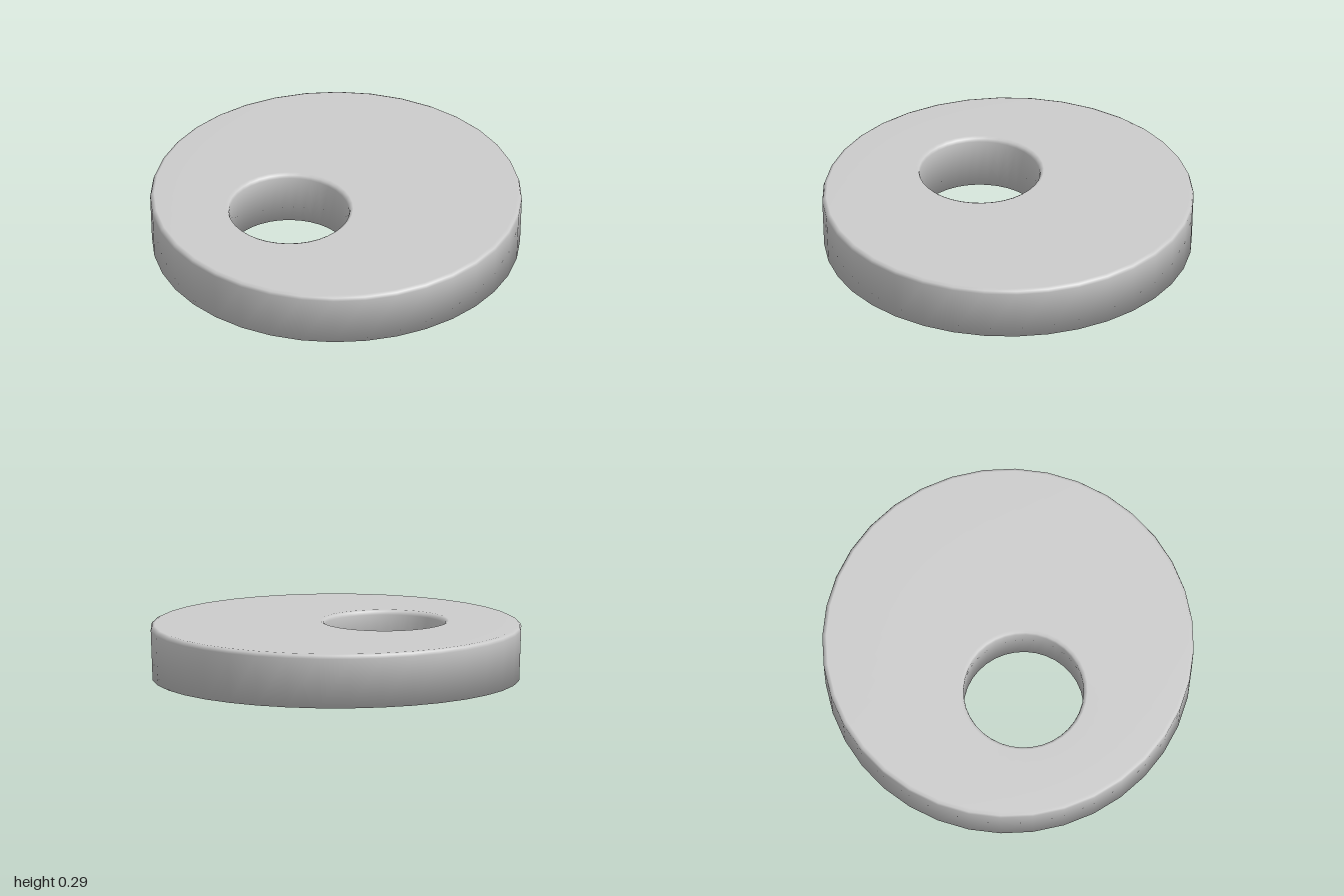
import * as THREE from 'three';

const SIDES = 36;
const HEIGHT = 0.295;
const HOLE = { x: -0.25, z: 0.14, r: 0.323 };

// Closed cross-section: each ring is a circle [centre x, centre z, radius, height].
function sectionRings() {
  const rim = [[0.99, 0], [1, HEIGHT - 0.025], [0.994, HEIGHT - 0.008], [0.978, HEIGHT]];
  const outer = rim.map(([r, y]) => [0, 0, r, y]);
  const bore = [[0.022, HEIGHT], [0.006, HEIGHT - 0.008], [0, HEIGHT - 0.025], [0, 0]];
  const inner = bore.map(([extra, y]) => [HOLE.x, HOLE.z, HOLE.r + extra, y]);
  return [...outer, ...inner];
}

// Join the rings, and the last back to the first, into one smooth solid.
function loftLoop(rings) {
  const positions = [];
  const index = [];
  rings.forEach(([cx, cz, r, y], i) => {
    const next = (i + 1) % rings.length;
    for (let j = 0; j < SIDES; j++) {
      const angle = (j / SIDES) * Math.PI * 2;
      positions.push(cx + r * Math.sin(angle), y, cz + r * Math.cos(angle));
      const k = (j + 1) % SIDES;
      const a = i * SIDES + j, b = i * SIDES + k;
      const c = next * SIDES + k, d = next * SIDES + j;
      index.push(a, b, c, a, c, d);
    }
  });
  const geometry = new THREE.BufferGeometry();
  geometry.setAttribute('position', new THREE.Float32BufferAttribute(positions, 3));
  geometry.setIndex(index);
  geometry.computeVertexNormals();
  return geometry;
}

export function createModel() {
  const group = new THREE.Group();
  group.name = 'eccentricDisc';

  // Thick disc with an off-centre round hole and softened top edges
  const disc = new THREE.Mesh(
    loftLoop(sectionRings()),
    new THREE.MeshStandardMaterial({ color: 0xcccccc })
  );
  disc.name = 'discWithHole';
  group.add(disc);
  return group;
}
